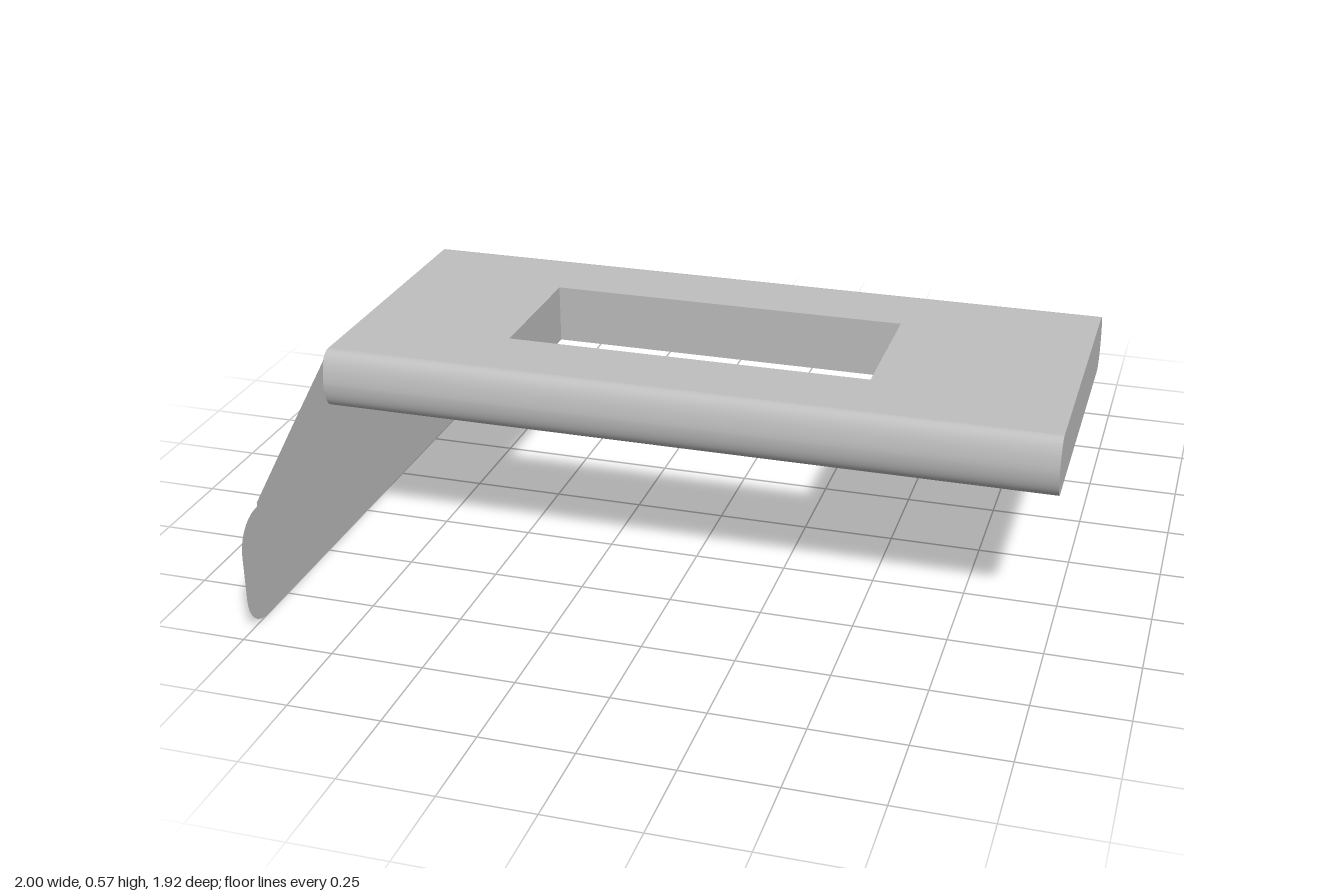
import * as THREE from 'three';
import { mergeGeometries } from 'three/addons/utils/BufferGeometryUtils.js';

const TOP = 0.573, BOTTOM = 0.408, FLAT = 0.4; // slab heights and half depth of its flat faces
const HOLE = { x0: -0.55, x1: 0.465, z: 0.2 };

// Rounded front edge of the slab, as (z, y) from top to bottom
function nosePoints() {
  const path = new THREE.Path();
  path.moveTo(FLAT, TOP);
  path.bezierCurveTo(0.425, TOP, 0.441, 0.545, 0.446, 0.49);
  path.bezierCurveTo(0.446, 0.45, 0.432, BOTTOM, FLAT, BOTTOM);
  return path.getPoints(10);
}

// Curved strip along x that follows the nose profile
function noseGeometry(points) {
  const geometry = new THREE.PlaneGeometry(2, 1, 1, points.length - 1);
  const pos = geometry.attributes.position;
  for (let i = 0; i < pos.count; i++) {
    const p = points[Math.floor(i / 2)];
    pos.setXYZ(i, pos.getX(i), p.y, p.x);
  }
  geometry.computeVertexNormals();
  return geometry;
}

function slabGeometry() {
  const points = nosePoints();
  const parts = [noseGeometry(points), noseGeometry(points).rotateY(Math.PI)];

  // Top and bottom faces with the rectangular opening
  const face = new THREE.Shape([[-1, -FLAT], [1, -FLAT], [1, FLAT], [-1, FLAT]].map(p => new THREE.Vector2(...p)));
  face.holes.push(new THREE.Path([
    [HOLE.x0, -HOLE.z], [HOLE.x0, HOLE.z], [HOLE.x1, HOLE.z], [HOLE.x1, -HOLE.z],
  ].map(p => new THREE.Vector2(...p))));
  parts.push(new THREE.ShapeGeometry(face).rotateX(-Math.PI / 2).translate(0, TOP, 0));
  parts.push(new THREE.ShapeGeometry(face).rotateX(Math.PI / 2).translate(0, BOTTOM, 0));

  // Walls of the opening, facing inward
  const width = HOLE.x1 - HOLE.x0, cx = (HOLE.x0 + HOLE.x1) / 2, cy = (TOP + BOTTOM) / 2;
  const wall = (w, turn, x, z) =>
    parts.push(new THREE.PlaneGeometry(w, TOP - BOTTOM).rotateY(turn).translate(x, cy, z));
  wall(width, 0, cx, -HOLE.z);
  wall(width, Math.PI, cx, HOLE.z);
  wall(2 * HOLE.z, Math.PI / 2, HOLE.x0, 0);
  wall(2 * HOLE.z, -Math.PI / 2, HOLE.x1, 0);

  // Free end; the other end is closed by the side plate
  const mirrored = points.map(p => new THREE.Vector2(-p.x, p.y)).reverse();
  const end = new THREE.Shape([...points, ...mirrored]);
  parts.push(new THREE.ShapeGeometry(end).rotateY(Math.PI / 2).translate(1, 0, 0));

  return mergeGeometries(parts);
}

// Flat sheet with rounded feet, small shoulder steps and sloping upper edges
function plateGeometry() {
  const half = new THREE.Path();
  half.moveTo(0.865, 0);
  half.bezierCurveTo(0.92, 0, 0.96, 0.04, 0.96, 0.095);
  half.lineTo(0.96, 0.222);
  half.bezierCurveTo(0.96, 0.275, 0.92, 0.318, 0.862, 0.318);
  half.lineTo(0.86, 0.329);
  half.lineTo(0.597, 0.467);
  half.lineTo(0.434, 0.55);
  half.quadraticCurveTo(0.42, 0.573, FLAT, TOP);
  const points = half.getPoints(10);
  const mirrored = points.map(p => new THREE.Vector2(-p.x, p.y)).reverse();
  return new THREE.ShapeGeometry(new THREE.Shape([...points, ...mirrored]))
    .rotateY(-Math.PI / 2).translate(-1, 0, 0);
}

export function createModel() {
  const grey = new THREE.MeshStandardMaterial({ color: 0xc0c0c0, side: THREE.DoubleSide });
  grey.name = 'light grey';

  const group = new THREE.Group();
  group.name = 'bracket';
  const add = (name, geometry) => {
    const mesh = new THREE.Mesh(geometry, grey);
    mesh.name = name;
    group.add(mesh);
  };
  add('slab', slabGeometry());
  add('sidePlate', plateGeometry());
  return group;
}
